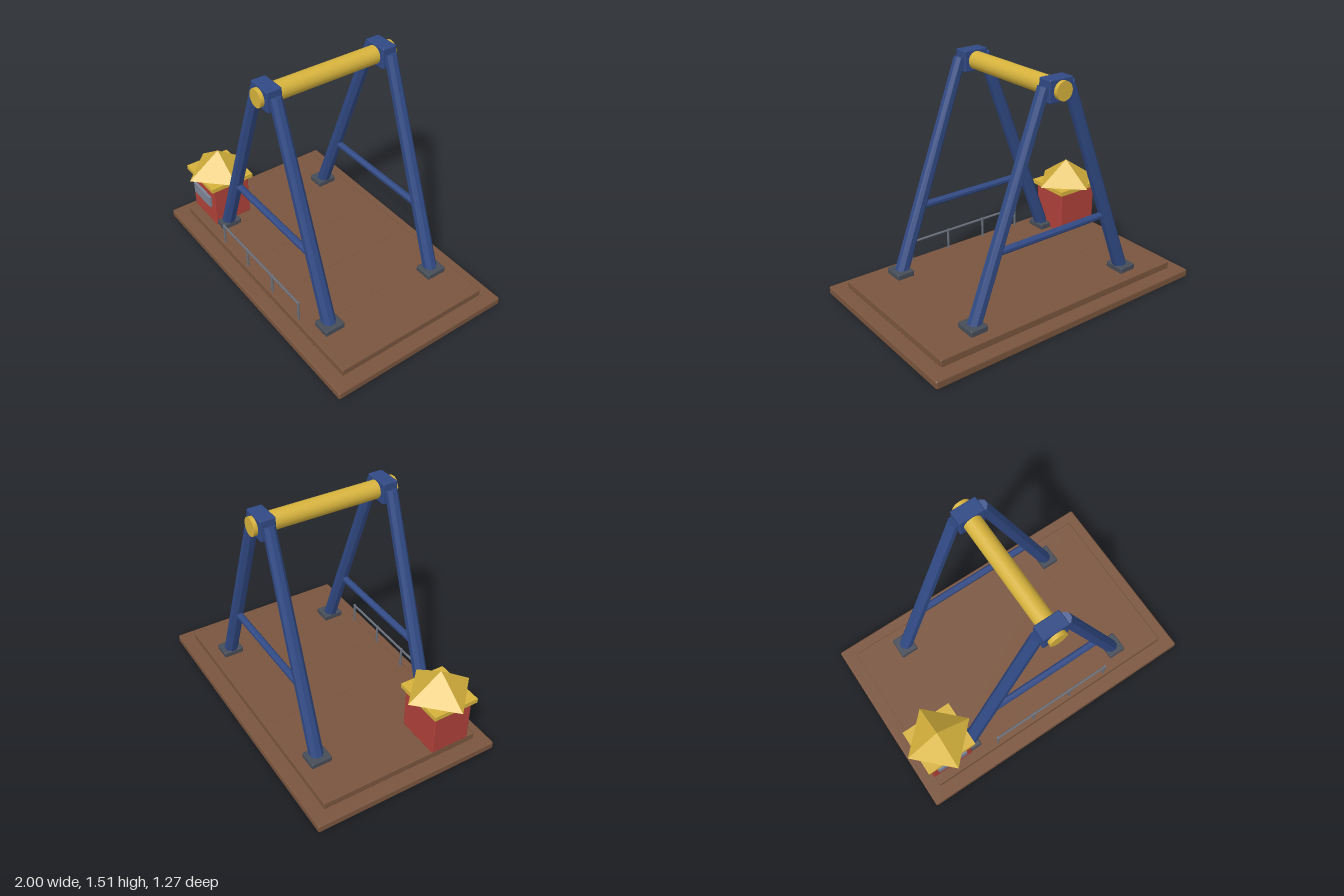
import * as THREE from 'three';
import { RoundedBoxGeometry } from 'three/addons/geometries/RoundedBoxGeometry.js';

const material = (name, color) => {
  const m = new THREE.MeshStandardMaterial({ color });
  m.name = name;
  return m;
};

export function createModel() {
  const model = new THREE.Group();
  model.name = 'swingRideFrame';
  const brown = material('brown', 0x7a553e);
  const blue = material('blue', 0x314a85);
  const yellow = material('yellow', 0xd6b23c);
  const red = material('red', 0xb0413a);
  const darkGrey = material('darkGrey', 0x474d58);
  const windowGrey = material('windowGrey', 0x7d8596);
  const railGrey = material('railGrey', 0x6a6f7a);

  const add = (parent, name, geometry, mat, x = 0, y = 0, z = 0) => {
    const mesh = new THREE.Mesh(geometry, mat);
    mesh.name = name;
    mesh.position.set(x, y, z);
    parent.add(mesh);
    return mesh;
  };
  const group = (name) => {
    const g = new THREE.Group();
    g.name = name;
    model.add(g);
    return g;
  };
  // Box with slightly softened edges
  const softBox = (w, h, d, r = 0.008) => new RoundedBoxGeometry(w, h, d, 1, r);
  const faceted = (geometry) => {
    const g = geometry.toNonIndexed();
    g.computeVertexNormals();
    return g;
  };
  // Faceted eight-sided beam between two points
  const beam = (parent, name, a, b, rA, rB, mat) => {
    const from = new THREE.Vector3(...a), to = new THREE.Vector3(...b);
    const dir = to.clone().sub(from);
    const g = new THREE.CylinderGeometry(rB, rA, dir.length(), 8);
    g.rotateY(Math.PI / 8);
    const mesh = add(parent, name, faceted(g), mat);
    mesh.position.copy(from).add(to).multiplyScalar(0.5);
    mesh.quaternion.setFromUnitVectors(new THREE.Vector3(0, 1, 0), dir.normalize());
    return mesh;
  };

  // Stepped platform with thin deck seams
  const platform = group('platform');
  add(platform, 'base', softBox(2, 0.055, 1.27, 0.012), brown, 0, 0.0275, 0);
  add(platform, 'deck', softBox(1.82, 0.05, 1.09), brown, 0, 0.08, 0);
  for (const x of [-0.54, -0.18, 0.18, 0.54]) {
    add(platform, 'deckSeam', new THREE.BoxGeometry(0.006, 0.002, 1.07), brown, x, 0.105, 0);
  }

  // Two A-frames with feet, cross brace and bearing block
  for (const z of [0.405, -0.405]) {
    const frame = group(z > 0 ? 'frontFrame' : 'backFrame');
    for (const s of [-1, 1]) {
      beam(frame, 'leg', [s * 0.59, 0.12, z], [s * 0.09, 1.47, z], 0.046, 0.039, blue);
      add(frame, 'foot', softBox(0.12, 0.04, 0.14), darkGrey, s * 0.595, 0.125, z);
    }
    beam(frame, 'crossBrace', [-0.41, 0.547, z], [0.41, 0.547, z], 0.023, 0.023, blue);
    add(frame, 'bearingBlock', softBox(0.17, 0.137, 0.1), blue, 0, 1.446, z);
  }

  // Axle through both bearing blocks
  const axleShape = new THREE.CylinderGeometry(0.058, 0.058, 0.96, 20);
  axleShape.rotateX(Math.PI / 2);
  add(model, 'axle', axleShape, yellow, 0, 1.446, 0);

  // Ticket booth
  const booth = group('booth');
  booth.position.set(-0.765, 0, 0.348);
  add(booth, 'walls', softBox(0.3, 0.305, 0.27), red, 0, 0.2575, 0);
  add(booth, 'window', new THREE.BoxGeometry(0.215, 0.08, 0.02), windowGrey, 0, 0.283, 0.142);
  add(booth, 'eaves', new THREE.BoxGeometry(0.345, 0.03, 0.315), yellow, 0, 0.42, 0);
  add(booth, 'roof', faceted(new THREE.ConeGeometry(0.23, 0.16, 4)), yellow, 0, 0.515, 0);

  // Front railing
  const railing = group('railing');
  for (let i = 0; i < 4; i++) {
    const post = new THREE.CylinderGeometry(0.008, 0.008, 0.145, 8);
    add(railing, 'post', post, railGrey, -0.435 + i * 0.29, 0.1755, 0.522);
  }
  const rail = new THREE.CylinderGeometry(0.008, 0.008, 0.886, 8);
  rail.rotateZ(Math.PI / 2);
  add(railing, 'rail', rail, railGrey, 0, 0.24, 0.522);

  return model;
}
